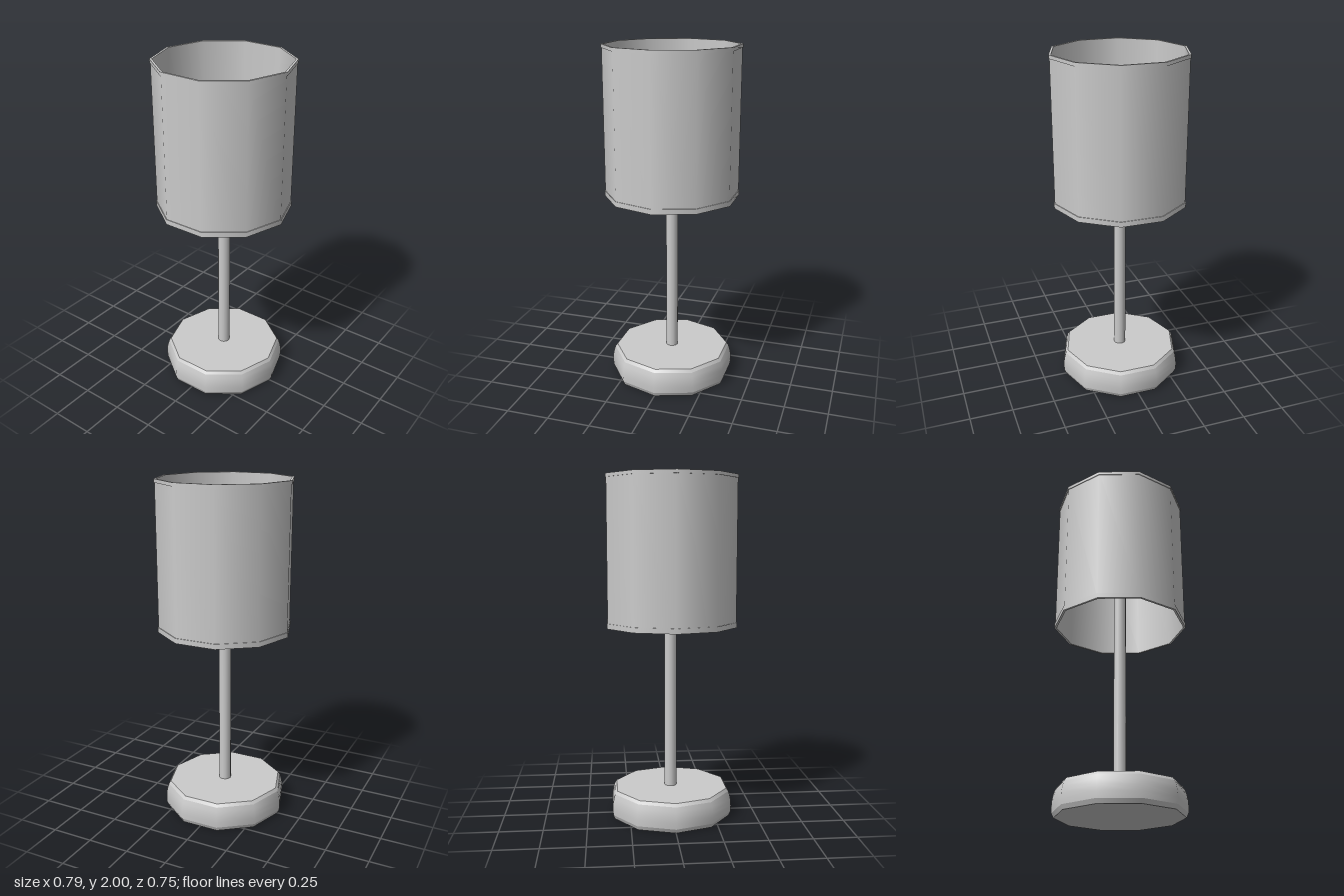
import * as THREE from 'three';

const material = new THREE.MeshStandardMaterial({ color: 0xcccccc });

// Ten-sided turned part; each profile [r, y] is smooth in itself, with hard edges between profiles.
function turned(name, profiles, sides = 10) {
  const part = new THREE.Group();
  part.name = name;
  profiles.forEach((profile, i) => {
    const points = profile.map(([r, y]) => new THREE.Vector2(r, y));
    const mesh = new THREE.Mesh(new THREE.LatheGeometry(points, sides, Math.PI / 2), material);
    mesh.name = `${name}Surface${i + 1}`;
    part.add(mesh);
  });
  return part;
}

export function createModel() {
  const lamp = new THREE.Group();
  lamp.name = 'tableLamp';

  // Weighted base: flat underside, lower bevel, bulging side, upper bevel, flat top
  lamp.add(turned('base', [
    [[0, 0], [0.357, 0]],
    [[0.357, 0], [0.368, 0.025]],
    [[0.368, 0.025], [0.37, 0.06], [0.368, 0.095], [0.362, 0.125], [0.354, 0.15]],
    [[0.354, 0.15], [0.341, 0.168]],
    [[0.341, 0.168], [0, 0.168]],
  ]));

  // Slim pole rising into the shade
  const pole = new THREE.Mesh(new THREE.CylinderGeometry(0.036, 0.036, 1.34, 12), material);
  pole.name = 'pole';
  pole.position.y = 0.165 + 0.67;
  lamp.add(pole);

  // Open drum shade
  const outer = 0.389, inner = 0.38, trim = 0.393;
  const bottom = 1.134, top = 2;
  lamp.add(turned('shade', [
    [[outer, bottom], [outer, top]],
    [[inner, top], [inner, bottom]],
  ]));

  // Trim bands round both rims of the shade
  [['lowerTrim', bottom, 1.164], ['upperTrim', 1.98, top]].forEach(([name, y0, y1]) => {
    lamp.add(turned(name, [
      [[inner, y0], [trim, y0]],
      [[trim, y0], [trim, y1]],
      [[trim, y1], [inner, y1]],
    ]));
  });

  return lamp;
}
